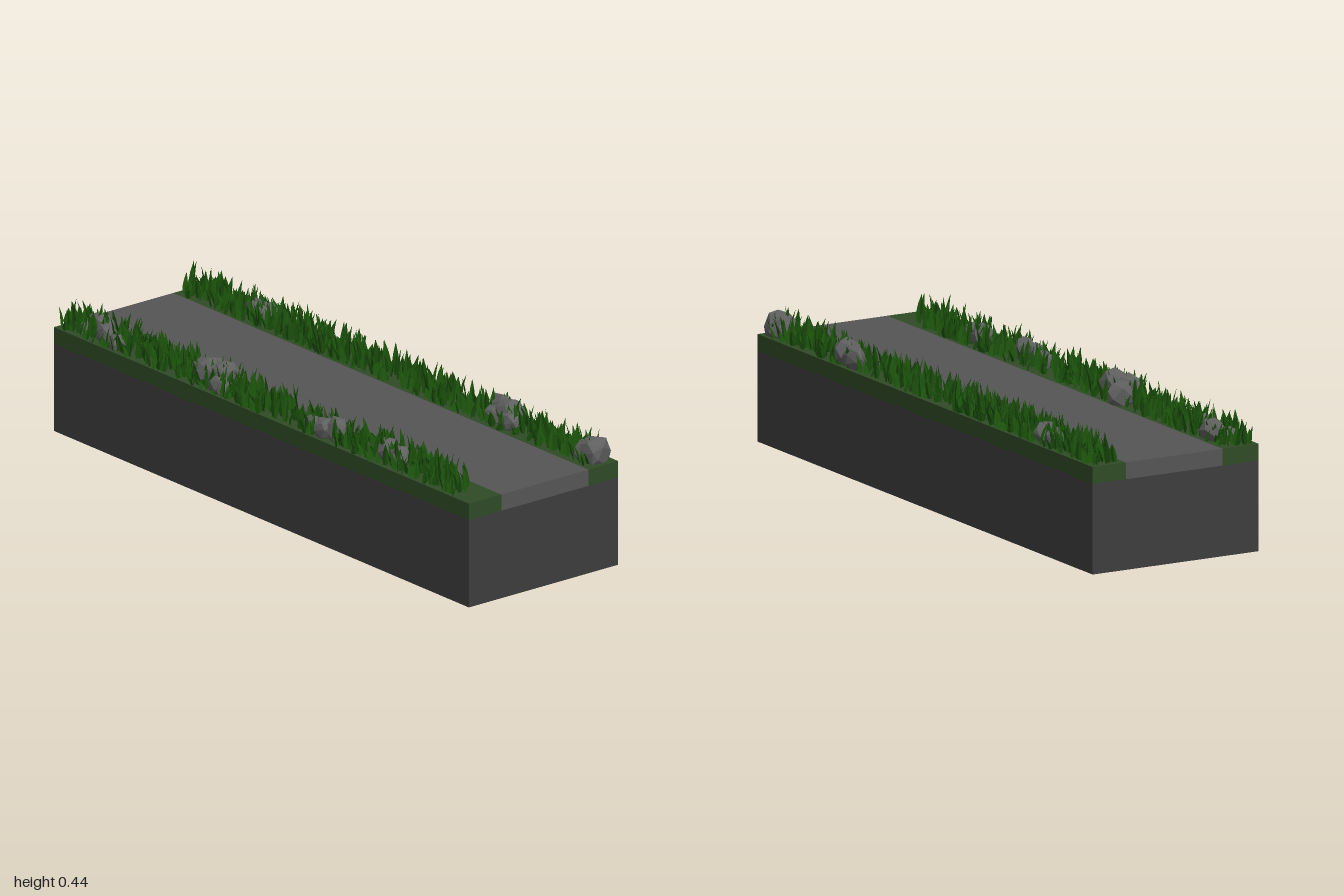
import * as THREE from 'three';
import { mergeGeometries } from 'three/addons/utils/BufferGeometryUtils.js';
import { ConvexGeometry } from 'three/addons/geometries/ConvexGeometry.js';

const TOP = 0.338, BASE = 0.285, HALF = 0.295;

// Small seeded random generator
function makeRandom(seed) {
  return () => {
    seed = (seed * 1664525 + 1013904223) % 4294967296;
    return seed / 4294967296;
  };
}

const mat = (color, side = THREE.FrontSide) =>
  new THREE.MeshStandardMaterial({ color, side, flatShading: true });

// Slab given by its height range and depth range, spanning the full length
function slab(name, y0, y1, z0, z1, material) {
  const mesh = new THREE.Mesh(new THREE.BoxGeometry(2, y1 - y0, z1 - z0), material);
  mesh.position.set(0, (y0 + y1) / 2, (z0 + z1) / 2);
  mesh.name = name;
  return mesh;
}

// Folded, tapering blade of unit height; the tip bends over
function bladeGeometry() {
  const profile = [[0.006, 0], [0.0105, 0.3], [0.007, 0.65], [0.0005, 1]]
    .map(([r, y]) => new THREE.Vector2(r, y));
  const geo = new THREE.LatheGeometry(profile, 2, -Math.PI / 2, Math.PI);
  const p = geo.attributes.position;
  for (let i = 0; i < p.count; i++) {
    const y = p.getY(i);
    p.setZ(i, p.getZ(i) * 0.45 + 0.014 * y * y);
  }
  return geo;
}

// Grass strip: sections are [x start, x end, blade count]
function grass(name, z0, z1, sections, seed, material) {
  const rnd = makeRandom(seed), blade = bladeGeometry(), parts = [];
  const dummy = new THREE.Object3D();
  for (const [x0, x1, count] of sections) {
    for (let i = 0; i < count; i++) {
      const t = rnd();
      const edge = 1 - Math.abs(2 * t - 1) ** 3 * 0.4;
      const h = (0.042 + 0.06 * rnd() ** 1.3) * edge;
      dummy.position.set(x0 + (x1 - x0) * rnd(), TOP - 0.002, z0 + (z1 - z0) * t);
      dummy.rotation.set((rnd() - 0.5) * 0.2, rnd() * Math.PI * 2, (rnd() - 0.5) * 0.2);
      dummy.scale.set(0.8 + rnd() * 0.5, h, 0.8 + rnd() * 0.5);
      dummy.updateMatrix();
      parts.push(blade.clone().applyMatrix4(dummy.matrix));
    }
  }
  const mesh = new THREE.Mesh(mergeGeometries(parts), material);
  mesh.name = name;
  return mesh;
}

// Angular boulder: hull of points scattered near an ellipsoid
function rock([x, y, z, rx, ry, rz], seed, material) {
  const rnd = makeRandom(seed), points = [], n = 22;
  for (let i = 0; i < n; i++) {
    const c = 1 - (2 * (i + 0.5)) / n, s = Math.sqrt(1 - c * c);
    const a = i * 2.4 + rnd() * 0.7, k = 0.84 + rnd() * 0.2;
    points.push(new THREE.Vector3(Math.cos(a) * s * rx * k, c * ry * k, Math.sin(a) * s * rz * k));
  }
  const mesh = new THREE.Mesh(new ConvexGeometry(points), material);
  mesh.position.set(x, y, z);
  mesh.name = 'rock';
  return mesh;
}

export function createModel() {
  const model = new THREE.Group();
  const turf = mat(0x2f4a26), stone = mat(0x606060);
  const blades = mat(0x1c540c, THREE.DoubleSide);

  // Ground block, path and turf borders
  model.add(
    slab('groundBlock', 0, BASE, -HALF, HALF, mat(0x3d3d3d)),
    slab('path', BASE, TOP, -0.177, 0.167, mat(0x555555)),
    slab('frontTurf', BASE, TOP, 0.167, HALF, turf),
    slab('backTurf', BASE, TOP, -HALF, -0.177, turf)
  );

  // Grass, thicker in some stretches
  model.add(
    grass('frontGrass', 0.172, 0.292, [
      [-0.99, -0.75, 75], [-0.75, -0.4, 130], [-0.4, 0.02, 165],
      [0.02, 0.35, 65], [0.35, 0.65, 95], [0.65, 0.92, 65]
    ], 7, blades),
    grass('backGrass', -0.288, -0.184, [
      [-0.98, -0.6, 150], [-0.6, -0.15, 200], [-0.15, 0.4, 140],
      [0.4, 0.7, 75], [0.7, 0.96, 65]
    ], 21, blades)
  );

  // Rock clusters: x, y, z and radii of each stone
  const clusters = {
    frontLeftEndRocks: [
      [-0.88, 0.36, 0.21, 0.065, 0.045, 0.045], [-0.92, 0.35, 0.24, 0.04, 0.035, 0.035],
      [-0.81, 0.355, 0.24, 0.05, 0.04, 0.035], [-0.74, 0.35, 0.26, 0.035, 0.035, 0.03]
    ],
    frontMiddleRocks: [
      [-0.34, 0.365, 0.20, 0.045, 0.05, 0.05], [-0.33, 0.38, 0.24, 0.055, 0.045, 0.045],
      [-0.26, 0.385, 0.225, 0.055, 0.048, 0.045], [-0.24, 0.355, 0.26, 0.05, 0.04, 0.03]
    ],
    frontRightRocks: [
      [0.2, 0.355, 0.25, 0.04, 0.035, 0.03], [0.26, 0.36, 0.26, 0.045, 0.04, 0.032],
      [0.31, 0.365, 0.245, 0.045, 0.05, 0.035]
    ],
    frontRightEndRocks: [
      [0.53, 0.365, 0.225, 0.045, 0.045, 0.04], [0.59, 0.36, 0.23, 0.04, 0.04, 0.035]
    ],
    backLeftRocks: [
      [-0.69, 0.36, -0.25, 0.04, 0.04, 0.03], [-0.64, 0.365, -0.245, 0.045, 0.04, 0.04],
      [-0.66, 0.355, -0.225, 0.04, 0.035, 0.025]
    ],
    backRightRocks: [
      [0.47, 0.37, -0.265, 0.055, 0.045, 0.035], [0.53, 0.375, -0.25, 0.06, 0.05, 0.05],
      [0.57, 0.36, -0.225, 0.045, 0.04, 0.035], [0.49, 0.36, -0.225, 0.045, 0.035, 0.03]
    ],
    backCornerRocks: [
      [0.95, 0.365, -0.245, 0.052, 0.06, 0.055], [0.92, 0.36, -0.235, 0.045, 0.045, 0.045]
    ]
  };
  let seed = 11;
  for (const [name, stones] of Object.entries(clusters)) {
    const group = new THREE.Group();
    group.name = name;
    for (const s of stones) group.add(rock(s, (seed += 977), stone));
    model.add(group);
  }
  return model;
}
